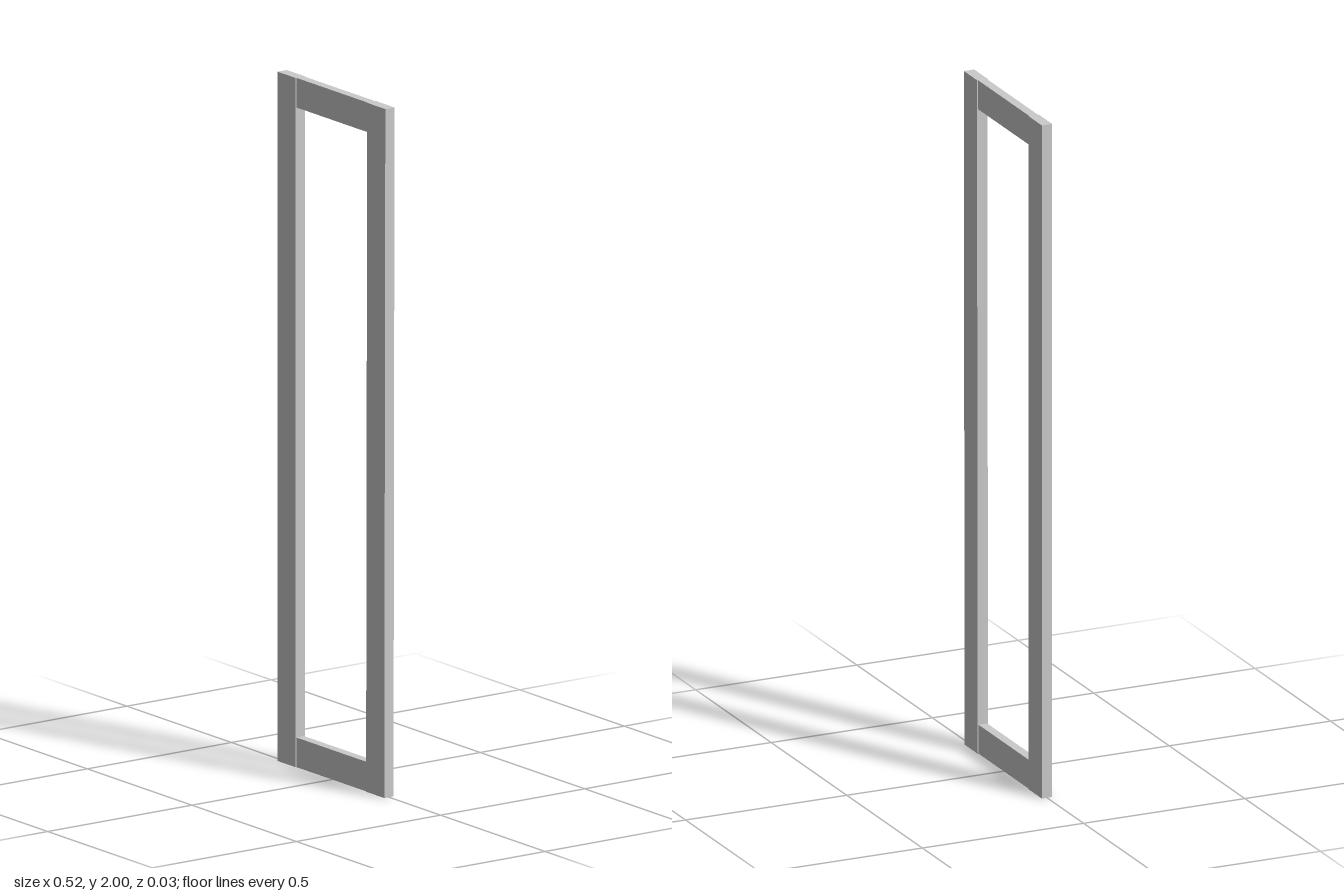
import * as THREE from 'three';

export function createModel() {
  const model = new THREE.Group();
  const material = new THREE.MeshStandardMaterial({ color: 0xcccccc, flatShading: true });

  const height = 2, stileWidth = 0.087, stileDepth = 0.032;
  const railHeight = 0.086, railDepth = 0.027, outerX = 0.258;
  const lean = 0.005; // sideways drift of the left stile over its height

  function addBoard(name, width, tall, depth, x, y, geometryRule) {
    const geometry = new THREE.BoxGeometry(width, tall, depth);
    if (geometryRule) geometryRule(geometry);
    const mesh = new THREE.Mesh(geometry, material);
    mesh.name = name;
    mesh.position.set(x, y, 0);
    model.add(mesh);
  }

  // Shear: the foot of the stile sits slightly further inward than its head
  function shear(geometry) {
    const p = geometry.attributes.position;
    for (let i = 0; i < p.count; i++) {
      if (p.getY(i) < 0) p.setX(i, p.getX(i) - lean);
    }
    geometry.computeVertexNormals();
  }

  // Upright stiles
  const stileX = outerX - stileWidth / 2;
  addBoard('rightStile', stileWidth, height, stileDepth, -stileX, height / 2);
  addBoard('leftStile', stileWidth, height, stileDepth, stileX, height / 2, shear);

  // Thinner cross rails between the stiles
  const railLength = 2 * (outerX - stileWidth);
  addBoard('bottomRail', railLength, railHeight, railDepth, 0, railHeight / 2);
  addBoard('topRail', railLength, railHeight, railDepth, 0, height - railHeight / 2);

  return model;
}
